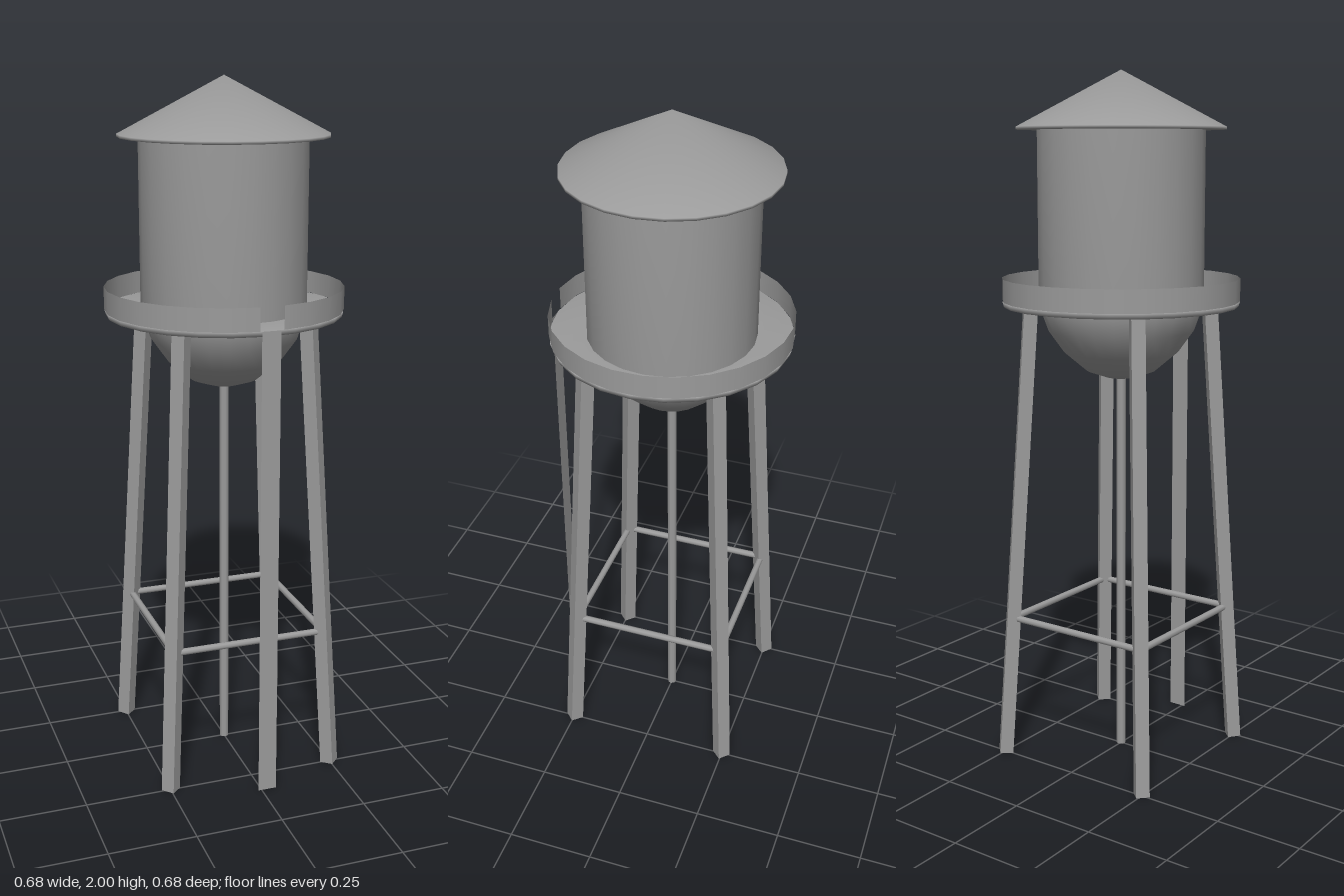
import * as THREE from 'three';
import { mergeVertices } from 'three/addons/utils/BufferGeometryUtils.js';

const SEGMENTS = 24;

export function createModel() {
  const tower = new THREE.Group();
  tower.name = 'waterTower';
  const steel = new THREE.MeshStandardMaterial({ color: 0x9b9b9b });
  const thinSteel = new THREE.MeshStandardMaterial({ color: 0x9b9b9b, side: THREE.DoubleSide });

  function add(name, geometry, material = steel) {
    const mesh = new THREE.Mesh(geometry, material);
    mesh.name = name;
    tower.add(mesh);
    return mesh;
  }

  // Revolves [radius, height] pairs, with normals smoothed across every edge
  function lathe(points) {
    const profile = points.map(([r, y]) => new THREE.Vector2(r, y));
    const geometry = new THREE.LatheGeometry(profile, SEGMENTS);
    geometry.deleteAttribute('normal');
    geometry.deleteAttribute('uv');
    const merged = mergeVertices(geometry);
    merged.computeVertexNormals();
    return merged;
  }

  // Straight member stretched between two points, turned about its own axis
  function beam(name, from, to, geometryFor, twist = 0) {
    const dir = to.clone().sub(from);
    const mesh = add(name, geometryFor(dir.length()));
    mesh.position.copy(from).add(to).multiplyScalar(0.5);
    mesh.quaternion.setFromUnitVectors(new THREE.Vector3(0, 1, 0), dir.normalize());
    mesh.rotateY(twist);
  }

  // Tank: tapering bowl below, straight wall above
  add('tank', lathe([
    [0, 1.135], [0.045, 1.138], [0.1, 1.157], [0.165, 1.212],
    [0.21, 1.275], [0.237, 1.35], [0.237, 1.84],
  ]));

  // Conical roof with a thin overhanging rim
  add('roof', lathe([[0, 1.837], [0.295, 1.837], [0.295, 1.845], [0, 2]]));

  // Walkway floor around the tank
  add('walkwayFloor', lathe([[0.23, 1.345], [0.336, 1.345], [0.34, 1.36], [0.23, 1.36]]));

  // Parapet, left open where the ladder arrives
  const gapStart = -0.047, gapEnd = 0.157;
  const parapet = add('parapet', new THREE.CylinderGeometry(
    0.34, 0.34, 0.065, SEGMENTS, 1, true, gapEnd, Math.PI * 2 - (gapEnd - gapStart)), thinSteel);
  parapet.position.y = 1.3925;

  // Ladder: a flat strip hanging from the walkway edge
  const ladder = add('ladder', new THREE.PlaneGeometry(0.054, 1.36), thinSteel);
  ladder.position.set(0.016, 0.68, 0.34);

  // Riser pipe under the bowl
  const pipe = add('riserPipe', new THREE.CylinderGeometry(0.014, 0.014, 1.15, 8));
  pipe.position.y = 0.575;

  // Four splayed legs with square section, corner-on to the front
  const spread = (y) => 0.249 - 0.065 * y / 1.35;
  const corners = [[1, 1], [1, -1], [-1, -1], [-1, 1]];
  const at = ([sx, sz], y) => new THREE.Vector3(sx * spread(y), y, sz * spread(y));
  const legSection = (length) => new THREE.BoxGeometry(0.039, length, 0.039);
  const braceSection = (length) => new THREE.CylinderGeometry(0.01, 0.01, length, 8);
  corners.forEach((corner, i) => {
    beam('leg', at(corner, 0), at(corner, 1.35), legSection, Math.PI / 4);
    // Horizontal brace to the next leg
    beam('brace', at(corner, 0.421), at(corners[(i + 1) % 4], 0.421), braceSection);
  });

  return tower;
}
